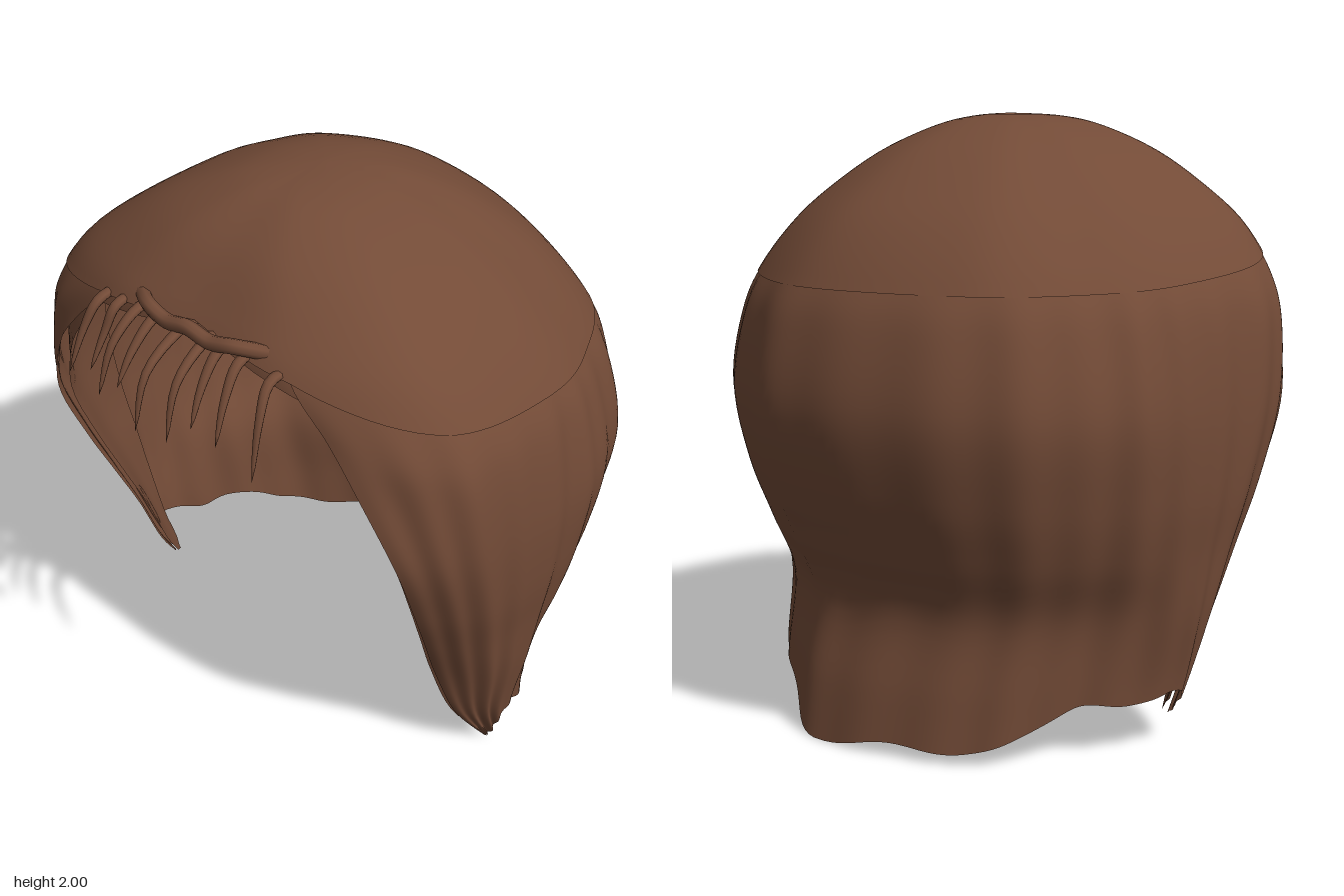
import * as THREE from 'three';
import { mergeVertices } from 'three/addons/utils/BufferGeometryUtils.js';

// Profiles from hem to hairline: height, back z, rear side x, side x, panel edge x and z
const PROFILE = [
  [0, -.77, .68, .8, .74, .06],
  [.2, -.74, .7, .82, .71, .2],
  [.45, -.69, .74, .87, .7, .31],
  [.65, -.76, .82, .9, .72, .4],
  [.85, -.84, .87, .93, .74, .49],
  [1.1, -.89, .9, .94, .74, .59],
  [1.35, -.85, .85, .91, .64, .645],
  [1.5, -.78, .78, .85, .53, .65],
  [1.65, -.67, .66, .73, .38, .645],
];

// Half cross-section: back, back quarter, rear side, side, front corner, panel edge, centre front
const rows = PROFILE.map(([y, zb, rear, side, ex, ez], i) => {
  const c = [0.95 * side, 0.68 * ez];
  const front = i > 6 ? [0, ez + 0.02] : [2 * ex - c[0], 2 * ez - c[1]];
  const back = (f) => 0.05 + (zb - 0.05) * f;
  return [y, 0, zb, 0.72 * rear, back(0.75), rear, back(0.36),
    side, Math.min(0.05, ez - 0.08), ...c, ex, ez, ...front];
});
// The crown closes the hairline section over in a rounded dome, fuller at the front
const hairline = rows[8];
for (const s of [.82, .59, .34, .16, 0]) {
  rows.push(hairline.map((v, j) => {
    if (j === 0) return 2 - 0.35 * s * s;
    if (j % 2) return v * s;
    return 0.05 + (v - 0.05) * (v > 0.05 ? Math.pow(s, 0.7) : s);
  }));
}
const TOP = rows.length - 1;

// Ragged hem heights from the right panel tip, round the back, to the left panel tip
const HEM = [.1, .12, .14, .18, .2, .17, .18, .11, .05, .06, 0, .15, .17, .17, .1, .12, .2, .13, .05, .01, 0];

const spline = (a, b, c, d, t) =>
  b + 0.5 * t * (c - a + t * (2 * a - 5 * b + 4 * c - d + t * (3 * (b - c) + d - a)));

function along(list, s) {
  const n = list.length - 1;
  const i = Math.min(Math.floor(s), n - 1);
  return spline(list[Math.max(i - 1, 0)], list[i], list[i + 1], list[Math.min(i + 2, n)], s - i);
}

// Point on the hair surface: u runs round from the back (0), r climbs the rows
function hairPoint(u, r, scale, ripple) {
  const sec = hairline.map((_, j) => along(rows.map((row) => row[j]), r));
  const k = Math.min(Math.abs(u) * 5, 6);
  const i = Math.min(Math.floor(k), 5);
  const px = (n) => (n < 0 ? -sec[3] : n > 6 ? -sec[11] : sec[1 + 2 * n]);
  const pz = (n) => (n < 0 ? sec[4] : n > 6 ? sec[12] : sec[2 + 2 * n]);
  const at = (f) => spline(f(i - 1), f(i), f(i + 1), f(i + 2), k - i);
  const fade = Math.max(0, Math.min(1, (8 - r) / 2)) * ripple;
  const g = scale + fade * (Math.sin(u * 66) + 0.6 * Math.sin(u * 41 + 1));
  return [Math.sign(u) * at(px) * g, sec[0], 0.05 + (at(pz) - 0.05) * g];
}

// Smooth grid surface from a point function
function sheet(nu, nv, fn) {
  const pos = [], index = [];
  for (let i = 0; i <= nu; i++) {
    for (let j = 0; j <= nv; j++) {
      pos.push(...fn(i / nu, j / nv));
      if (i < nu && j < nv) {
        const a = i * (nv + 1) + j, b = a + nv + 1;
        index.push(a, a + 1, b, b, a + 1, b + 1);
      }
    }
  }
  let geo = new THREE.BufferGeometry();
  geo.setAttribute('position', new THREE.Float32BufferAttribute(pos, 3));
  geo.setIndex(index);
  geo = mergeVertices(geo, 1e-4);
  geo.computeVertexNormals();
  return geo;
}

// Part of the hair surface between row low(u) and row high
function hairSheet(u0, u1, nu, nv, low, high, scale, ripple) {
  return sheet(nu, nv, (s, t) => {
    const u = u0 + (u1 - u0) * s;
    const r0 = low(u);
    return hairPoint(u, r0 + (high - r0) * t, scale, ripple);
  });
}

// Flat tapering strand swept along a curve
function strand(curve, width, thick) {
  return sheet(8, 12, (s, t) => {
    const p = curve.getPoint(t), d = curve.getTangent(t);
    const a = -s * Math.PI * 2;
    const w = Math.pow(1 - t, 0.6) * (0.75 + 0.5 * t);
    const n = new THREE.Vector3(0, d.z, -d.y).normalize();
    const q = Math.sin(a) * thick * w;
    return [p.x + Math.cos(a) * width * w, p.y + n.y * q, p.z + n.z * q];
  });
}

export function createModel() {
  const group = new THREE.Group();
  const brown = new THREE.MeshStandardMaterial({ color: 0x734b37, side: THREE.DoubleSide });
  brown.name = 'brown hair';
  const add = (name, geo) => {
    const mesh = new THREE.Mesh(geo, brown);
    mesh.name = name;
    group.add(mesh);
  };

  // Long hair round the sides and back
  const hemRow = (u) => Math.max(0, along(HEM, (u + 1) * 10) / 0.2);
  add('longHair', hairSheet(-1, 1, 200, 44, hemRow, 8.2, 1, 0.006));

  // Crown cap, reaching lower at the sides and back than at the hairline
  const capLow = (u) => {
    const a = Math.abs(u);
    return a > 1 ? 8 + (a - 1) * 2.2 : 6.8 + 1.2 * Math.pow(a, 4);
  };
  add('crownCap', hairSheet(-1.2, 1.2, 120, 24, capLow, TOP, 1.008, 0));

  // Lining under the crown
  const liningLow = (u) => 6 + 2.2 * Math.pow(Math.abs(u) / 1.2, 2);
  add('crownLining', hairSheet(-1.2, 1.2, 80, 12, liningLow, 11, 0.95, 0));

  // Inner locks behind the front edges of both side panels
  const lockLow = (u) => 0.55 + 1.2 * Math.abs(Math.abs(u) - 0.9);
  for (const side of [-1, 1]) {
    const name = side < 0 ? 'rightInnerLock' : 'leftInnerLock';
    add(name, hairSheet(side * 0.85 - 0.15, side * 0.85 + 0.15, 12, 30, lockLow, 8, 0.95, 0));
  }

  // Fringe strands: root x, tip height, tip z
  const fringe = [
    [-.37, 1.42, .8], [-.29, 1.46, .79], [-.21, 1.43, .84],
    [-.13, 1.5, .84], [-.02, 1.42, .89], [.08, 1.42, .87],
    [.14, 1.48, .83], [.22, 1.45, .82], [.34, 1.38, .81],
  ];
  for (const [x, ty, tz] of fringe) {
    const y = 1.69 - 0.25 * x * x;
    const curve = new THREE.CatmullRomCurve3([
      new THREE.Vector3(x, y, 0.6),
      new THREE.Vector3(x, y - 0.01, 0.69),
      new THREE.Vector3(x * 1.05, y - 0.09, tz - 0.06),
      new THREE.Vector3(x * 1.1, ty, tz),
    ]);
    add('fringeStrand', strand(curve, 0.027, 0.018));
  }

  // Wavy roll where the fringe leaves the hairline
  const rollPoints = [];
  for (let i = 0; i <= 6; i++) {
    const e = i / 3 - 1;
    rollPoints.push(new THREE.Vector3(0.02 + 0.26 * e, 1.695 + (i % 2) * 0.014, 0.69 - 0.07 * e ** 4));
  }
  add('fringeRoll', new THREE.TubeGeometry(new THREE.CatmullRomCurve3(rollPoints), 40, 0.024, 8));

  return group;
}
